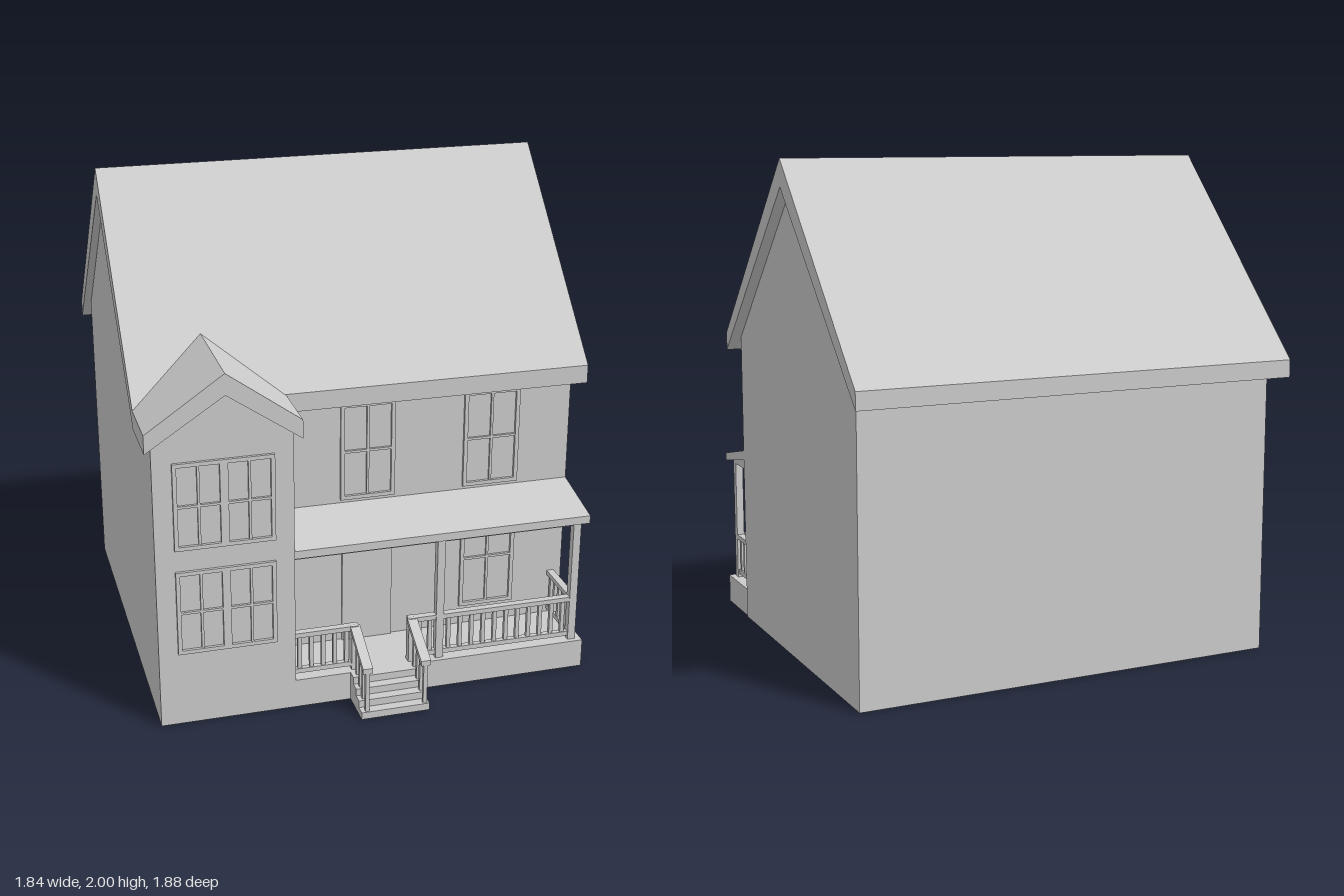
import * as THREE from 'three';

const mat = new THREE.MeshStandardMaterial({ color: 0xcccccc, flatShading: true });
const sheetMat = new THREE.MeshStandardMaterial({ color: 0xcccccc, flatShading: true, side: THREE.DoubleSide });

function add(parent, name, geometry, material = mat) {
  const mesh = new THREE.Mesh(geometry, material);
  mesh.name = name;
  parent.add(mesh);
  return mesh;
}

function group(parent, name) {
  const g = new THREE.Group();
  g.name = name;
  parent.add(g);
  return g;
}

// Box given by its minimum and maximum on each axis
function box(parent, name, [x0, x1], [y0, y1], [z0, z1]) {
  const mesh = add(parent, name, new THREE.BoxGeometry(x1 - x0, y1 - y0, z1 - z0));
  mesh.position.set((x0 + x1) / 2, (y0 + y1) / 2, (z0 + z1) / 2);
  return mesh;
}

// Thin convex wall panel from its corners
function panel(parent, name, corners) {
  const g = new THREE.BufferGeometry();
  g.setAttribute('position', new THREE.Float32BufferAttribute(corners.flat(), 3));
  const index = [];
  for (let i = 1; i < corners.length - 1; i++) index.push(0, i, i + 1);
  g.setIndex(index);
  g.computeVertexNormals();
  return add(parent, name, g, sheetMat);
}

// Outline in the z-y plane, extruded along x
function extrudeX(parent, name, outline, x0, x1) {
  const shape = new THREE.Shape(outline.map(([z, y]) => new THREE.Vector2(-z, y)));
  const g = new THREE.ExtrudeGeometry(shape, { depth: x1 - x0, bevelEnabled: false });
  g.rotateY(Math.PI / 2);
  g.translate(x0, 0, 0);
  return add(parent, name, g);
}

// One sash: a border and a cross of glazing bars, standing through the wall at z
function sash(parent, x0, x1, y0, y1, z) {
  const g = group(parent, 'windowSash');
  const t = 0.016, b = 0.005, cx = (x0 + x1) / 2, cy = (y0 + y1) / 2;
  const d = [z - 0.012, z + 0.012], thin = [z - 0.01, z + 0.01];
  box(g, 'leftStile', [x0, x0 + t], [y0, y1], d);
  box(g, 'rightStile', [x1 - t, x1], [y0, y1], d);
  box(g, 'bottomRail', [x0 + t, x1 - t], [y0, y0 + t], d);
  box(g, 'topRail', [x0 + t, x1 - t], [y1 - t, y1], d);
  box(g, 'uprightBar', [cx - b, cx + b], [y0 + t, y1 - t], thin);
  box(g, 'crossBar', [x0 + t, x1 - t], [cy - b, cy + b], thin);
}

// Balustrade along x or z, at a fixed place on the other axis
function balustrade(parent, axis, from, to, at) {
  const g = group(parent, 'balustrade');
  const piece = (name, a, b, y, w) => {
    const across = [at - w / 2, at + w / 2];
    if (axis === 'x') box(g, name, [a, b], y, across);
    else box(g, name, across, y, [a, b]);
  };
  piece('handrail', from, to, [0.295, 0.315], 0.03);
  piece('lowerRail', from, to, [0.135, 0.155], 0.022);
  const n = Math.max(1, Math.round((to - from) / 0.048));
  for (let i = 0; i < n; i++) {
    const c = from + (i + 0.5) * (to - from) / n;
    piece('baluster', c - 0.008, c + 0.008, [0.155, 0.295], 0.016);
  }
}

export function createModel() {
  const house = new THREE.Group();
  house.name = 'house';
  const L = -0.89, R = 0.875, B = -0.825, F = 0.51, bayF = 0.78, bayR = -0.35, eave = 1.235;

  // Walls: an open shell without a floor
  const walls = group(house, 'walls');
  panel(walls, 'backWall', [[R, 0, B], [L, 0, B], [L, eave, B], [R, eave, B]]);
  for (const [name, x] of [['leftGableWall', R], ['rightGableWall', L]]) {
    panel(walls, name, [[x, 0, F], [x, 0, B], [x, eave, B], [x, 1.89, -0.17], [x, eave, F]]);
  }
  panel(walls, 'frontWall', [[bayR, 0.12, F], [R, 0.12, F], [R, eave, F], [bayR, eave, F]]);
  panel(walls, 'bayFrontWall', [[L, 0, bayF], [bayR, 0, bayF], [bayR, 1.19, bayF],
    [-0.62, 1.38, bayF], [L, 1.19, bayF]]);
  panel(walls, 'bayOuterWall', [[L, 0, F], [L, 0, bayF], [L, 1.2, bayF], [L, 1.2, F]]);
  panel(walls, 'bayInnerWall', [[bayR, 0, bayF], [bayR, 0, F], [bayR, 1.2, F], [bayR, 1.2, bayF]]);

  // Main roof: bent slab with plumb eaves
  extrudeX(house, 'mainRoof', [[0.57, 1.175], [0.57, 1.25], [-0.17, 2], [-0.935, 1.21],
    [-0.935, 1.14], [-0.17, 1.89]], -0.92, 0.92);

  // Bay roof: its back end is cut to the slope of the main roof
  const bayShape = new THREE.Shape([[-0.92, 1.17], [-0.615, 1.37], [-0.325, 1.17], [-0.325, 1.245],
    [-0.615, 1.455], [-0.92, 1.245]].map(p => new THREE.Vector2(...p)));
  const bayRoof = new THREE.ExtrudeGeometry(bayShape, { depth: 0.825, bevelEnabled: false });
  const p = bayRoof.attributes.position;
  for (let i = 0; i < p.count; i++) {
    if (p.getZ(i) < 0.4) p.setZ(i, 0.56 - Math.max(0, p.getY(i) - 1.25) * 0.98);
  }
  bayRoof.computeVertexNormals();
  add(house, 'bayRoof', bayRoof);

  // Windows
  const windows = group(house, 'windows');
  for (const [y0, y1] of [[0.75, 1.105], [0.31, 0.66]]) {
    sash(windows, -0.815, -0.62, y0, y1, bayF);
    sash(windows, -0.62, -0.425, y0, y1, bayF);
  }
  sash(windows, -0.095, 0.13, 0.755, 1.165, F);
  sash(windows, 0.42, 0.655, 0.755, 1.165, F);
  sash(windows, 0.42, 0.655, 0.205, 0.64, F);
  box(house, 'door', [-0.088, 0.122], [0.12, 0.56], [F - 0.01, F + 0.01]);

  // Porch: deck on a hollow skirt, posts, beam and sloping roof
  const porch = group(house, 'porch');
  box(porch, 'deck', [bayR, 0.87], [0.1, 0.12], [F, bayF]);
  box(porch, 'frontSkirt', [bayR, 0.87], [0, 0.1], [bayF - 0.02, bayF]);
  box(porch, 'sideSkirt', [0.85, 0.87], [0, 0.1], [F, bayF - 0.02]);
  extrudeX(porch, 'porchRoof', [[F, 0.7], [F, 0.74], [0.775, 0.683], [0.775, 0.65]], bayR, R);
  box(porch, 'beam', [bayR, 0.845], [0.64, 0.67], [0.727, 0.76]);
  box(porch, 'sideBeam', [0.813, 0.845], [0.64, 0.68], [F, 0.727]);
  for (const x of [0.237, 0.813]) box(porch, 'post', [x, x + 0.032], [0.12, 0.64], [0.727, 0.76]);
  balustrade(porch, 'x', bayR, -0.11, 0.744);
  balustrade(porch, 'x', 0.147, 0.237, 0.744);
  balustrade(porch, 'x', 0.269, 0.813, 0.744);
  balustrade(porch, 'z', F, 0.727, 0.829);

  // Front steps with a sloping handrail on each side
  const stairs = group(house, 'stairs');
  for (let i = 0; i < 4; i++) {
    box(stairs, 'step', [-0.125, 0.155], [i * 0.03, (i + 1) * 0.03], [bayF, 0.94 - i * 0.04]);
  }
  for (const x of [-0.1, 0.137]) {
    box(stairs, 'newel', [x - 0.015, x + 0.015], [0.12, 0.315], [0.727, 0.76]);
    extrudeX(stairs, 'stairRail', [[0.75, 0.295], [0.75, 0.317], [0.938, 0.222], [0.938, 0.2]],
      x - 0.02, x + 0.02);
    [[0.927, 0.03], [0.88, 0.06], [0.84, 0.09], [0.795, 0.12]].forEach(([z, y]) =>
      box(stairs, 'stairBaluster', [x - 0.008, x + 0.008], [y, 0.3 - (z - 0.75) * 0.5], [z - 0.008, z + 0.008]));
  }
  return house;
}
